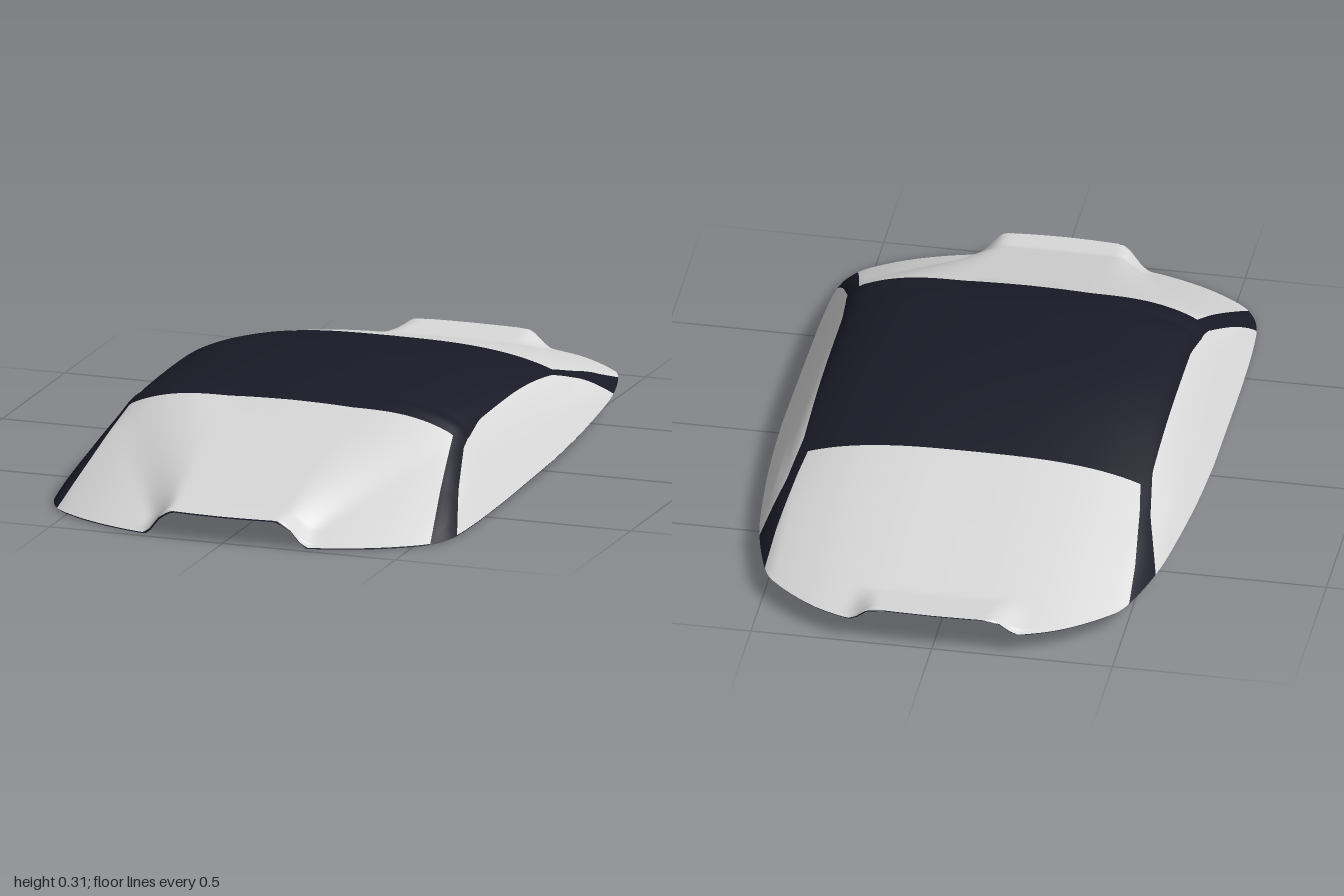
import * as THREE from 'three';

const DARK = new THREE.MeshStandardMaterial({ color: 0x1a1a27, side: THREE.DoubleSide });
DARK.name = 'dark body';
const GLASS = new THREE.MeshStandardMaterial({ color: 0xd9d9d9, side: THREE.DoubleSide });
GLASS.name = 'pale glass';

// piecewise linear lookup in a list of [key, value], keys rising
function lookup(list, t) {
  if (t <= list[0][0]) return list[0][1];
  for (let i = 1; i < list.length; i++) {
    const [k0, v0] = list[i - 1], [k1, v1] = list[i];
    if (t <= k1) return k1 === k0 ? v1 : v0 + (v1 - v0) * (t - k0) / (k1 - k0);
  }
  return list[list.length - 1][1];
}

// plan outline of one half, [x, z], from the widest point to the nose or tail
const smooth = (pts) => new THREE.SplineCurve(pts.map(([x, z]) => new THREE.Vector2(x, z)))
  .getPoints(240).map((p) => [p.x, p.y]);
const FRONT = smooth([[0.597, 0], [0.595, 0.4], [0.59, 0.62], [0.577, 0.75], [0.54, 0.83], [0.48, 0.88],
  [0.4, 0.925], [0.3, 0.963], [0.2, 0.986], [0.1, 0.996], [0, 1]]);
const BACK = smooth([[0.597, 0], [0.59, -0.2], [0.575, -0.4], [0.55, -0.6], [0.5, -0.78], [0.45, -0.85],
  [0.35, -0.93], [0.25, -0.975], [0.15, -0.995], [0, -1]]);
const widthByZ = [...BACK].reverse().concat(FRONT.slice(1)).map(([x, z]) => [z, x]);
const frontByX = [...FRONT].reverse(), backByX = [...BACK].reverse();
const halfWidth = (z) => lookup(widthByZ, z);

// height of the lower rim
const rim = (z) => lookup([[-1, 0.06], [-0.6, 0.058], [-0.35, 0.05], [0, 0.034], [0.4, 0.017], [0.8, 0.006], [1, 0.004]], z);

// borders between screen, pillar and side window
const screenEdge = (z) => (z >= 0.83 || z <= -0.77) ? halfWidth(z)
  : lookup([[-0.77, 0.504], [-0.64, 0.497], [-0.45, 0.475], [-0.36, 0.46], [0.45, 0.468], [0.65, 0.504], [0.83, 0.54]], z);
const windowEdge = (z) => (z >= 0.73 || z <= -0.61) ? halfWidth(z)
  : lookup([[-0.61, 0.548], [-0.45, 0.504], [-0.3, 0.482], [0.28, 0.482], [0.45, 0.499], [0.6, 0.538], [0.73, halfWidth(0.73)]], z);

function softMin(a, b, k) {
  const h = Math.max(k - Math.abs(a - b), 0) / k;
  return Math.min(a, b) - h * h * k / 4;
}

// roof, two screens and the sloping sides, blended into one surface
function height(x, z) {
  const b = rim(z);
  const roof = 0.306 - 0.12 * (z - 0.15) ** 2 - 0.2 * x * x - 3 * x ** 6;
  const front = b + 0.455 * (lookup(frontByX, x) - z);
  const back = b + 0.29 * (z - lookup(backByX, x));
  const side = b + 1.75 * (halfWidth(z) - x);
  const k = Math.max(1e-4, Math.min(0.05, 0.5 * (Math.min(front, back, side) - b)));
  let y = [front, back, side].reduce((m, v) => softMin(m, v, k), roof);
  y = Math.max(y, b);
  // raised lip in the middle of the nose and the tail, fading out up the screen
  const lip = z > 0.92 ? 0.075 + 0.06 * (1 - z)
    : z > 0.4 ? 0.08 + 0.38 * (0.92 - z)
    : z < -0.84 ? 0.097 + 0.08 * (-0.88 - z) : 0;
  const ramp = 0.08 + 0.6 * (z > 0 ? Math.max(0, 0.92 - z) : 0);
  const mask = THREE.MathUtils.smoothstep((0.16 + ramp - x) / ramp, 0, 1);
  return y + mask * Math.max(0, lip - y);
}

// rows along z, packed densely near the rounded ends
const rows = [-1];
[[-0.996, 3], [-0.97, 5], [-0.77, 14], [-0.61, 10], [-0.36, 12], [0.45, 36], [0.73, 14], [0.83, 8],
  [0.97, 14], [0.996, 6], [1, 3]].forEach(([end, n]) => {
  const start = rows[rows.length - 1];
  for (let i = 1; i <= n; i++) rows.push(start + (end - start) * i / n);
});

// columns on one side: screen, pillar, side window
const N1 = 36, N2 = N1 + 4, N3 = N2 + 12;
function columnX(j, z) {
  const w = halfWidth(z), s = Math.min(windowEdge(z), w), g = Math.min(screenEdge(z), s);
  if (j <= N1) return g * j / N1;
  if (j <= N2) return g + (s - g) * (j - N1) / (N2 - N1);
  return s + (w - s) * (j - N2) / (N3 - N2);
}

export function createModel() {
  const group = new THREE.Group();
  group.name = 'carCanopy';
  const positions = [], innerPositions = [];
  for (const z of rows) {
    for (let j = -N3; j <= N3; j++) {
      const x = Math.sign(j) * columnX(Math.abs(j), z);
      const y = height(Math.abs(x), z);
      positions.push(x, y, z);
      innerPositions.push(x * 0.993, Math.max(0, y - 0.005), z * 0.996);
    }
  }

  // sort the cells into parts
  const parts = { roof: [], windscreen: [], rearWindow: [], leftWindow: [], rightWindow: [], pillars: [] };
  const outer = [], cols = 2 * N3 + 1;
  for (let i = 0; i < rows.length - 1; i++) {
    const z = (rows[i] + rows[i + 1]) / 2;
    for (let j = 0; j < cols - 1; j++) {
      const side = j + 0.5 - N3, m = Math.abs(side);
      let part = 'pillars';
      if (m > N2) part = side > 0 ? 'leftWindow' : 'rightWindow';
      else if (m < N1) part = z > 0.45 ? 'windscreen' : z < -0.36 ? 'rearWindow' : 'roof';
      const a = i * cols + j, b = a + cols;
      const cell = [a, b, a + 1, a + 1, b, b + 1];
      parts[part].push(...cell);
      outer.push(...cell);
    }
  }

  function surface(points, index) {
    const g = new THREE.BufferGeometry();
    g.setAttribute('position', new THREE.Float32BufferAttribute(points, 3));
    g.setIndex(index);
    g.computeVertexNormals();
    return g;
  }

  function add(name, geometry, material) {
    const mesh = new THREE.Mesh(geometry, material);
    mesh.name = name;
    group.add(mesh);
  }

  // outer panels share one set of smooth normals
  const shell = surface(positions, outer);
  for (const [name, index] of Object.entries(parts)) {
    const g = new THREE.BufferGeometry();
    g.setAttribute('position', shell.getAttribute('position'));
    g.setAttribute('normal', shell.getAttribute('normal'));
    g.setIndex(index);
    add(name, g, name === 'roof' || name === 'pillars' ? DARK : GLASS);
  }

  // dark lining just inside the shell, facing inwards
  add('innerLining', surface(innerPositions, [...outer].reverse()), DARK);
  return group;
}
